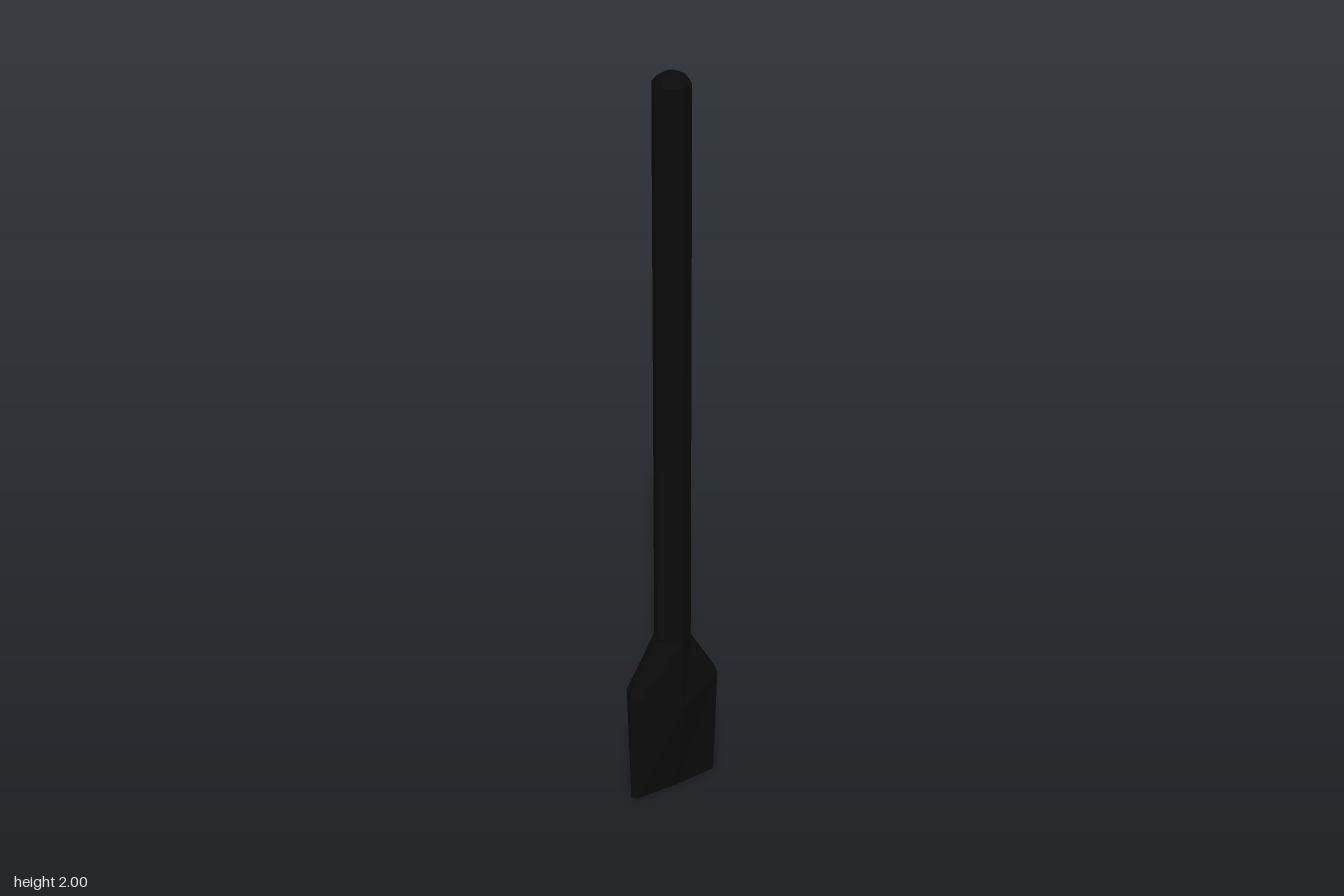
import * as THREE from 'three';

const SIDES = 8;
const material = new THREE.MeshStandardMaterial({ color: 0x0b0b0b, flatShading: true });

// Eight-sided ring: tip on the x axis, corner between, ridge on the z axis.
// Each of tip, corner and ridge is [x, y, z] in the positive quadrant.
function ring(tip, corner, ridge, cx = 0, cz = 0) {
  const quarter = (p, sx, sz) => [cx + p[0] * sx, p[1], cz + p[2] * sz];
  return [
    quarter(tip, 1, 1), quarter(corner, 1, 1), quarter(ridge, 1, 1), quarter(corner, -1, 1),
    quarter(tip, -1, 1), quarter(corner, -1, -1), quarter(ridge, 1, -1), quarter(corner, 1, -1),
  ];
}

// Regular octagon, following the slight lean of the shank
function octagon(r, y) {
  const d = r * Math.SQRT1_2;
  const t = (y - 0.46) / 1.54;
  return ring([r, y, 0], [d, y, d], [0, y, r], -0.006 * t, -0.003 + 0.006 * t);
}

// Skin a stack of rings from bottom to top and close both ends
function loft(rings, name) {
  const index = [];
  for (let i = 0; i < rings.length - 1; i++) {
    for (let j = 0; j < SIDES; j++) {
      const a = i * SIDES + j, b = i * SIDES + (j + 1) % SIDES;
      index.push(a, a + SIDES, b, b, a + SIDES, b + SIDES);
    }
  }
  const top = (rings.length - 1) * SIDES;
  for (let j = 1; j < SIDES - 1; j++) {
    index.push(0, j, j + 1, top, top + j + 1, top + j);
  }
  const geometry = new THREE.BufferGeometry();
  geometry.setAttribute('position', new THREE.Float32BufferAttribute(rings.flat(2), 3));
  geometry.setIndex(index);
  const flat = geometry.toNonIndexed();
  flat.computeVertexNormals();
  const mesh = new THREE.Mesh(flat, material);
  mesh.name = name;
  return mesh;
}

export function createModel() {
  const group = new THREE.Group();
  group.name = 'chisel';

  // Straight octagonal shank with a chamfered striking end
  group.add(loft([
    octagon(0.048, 0.46), octagon(0.048, 1.975), octagon(0.036, 1.99), octagon(0.018, 2),
  ], 'shank'));

  // Flared shoulders, then a wide blade tapering to a blunt edge
  group.add(loft([
    ring([0.133, 0, 0], [0.122, 0, 0.015], [0, 0, 0.021], 0, -0.003),
    ring([0.133, 0.32, 0], [0.12, 0.32, 0.034], [0, 0.25, 0.048], 0, -0.004),
    octagon(0.048, 0.46),
  ], 'blade'));

  return group;
}
